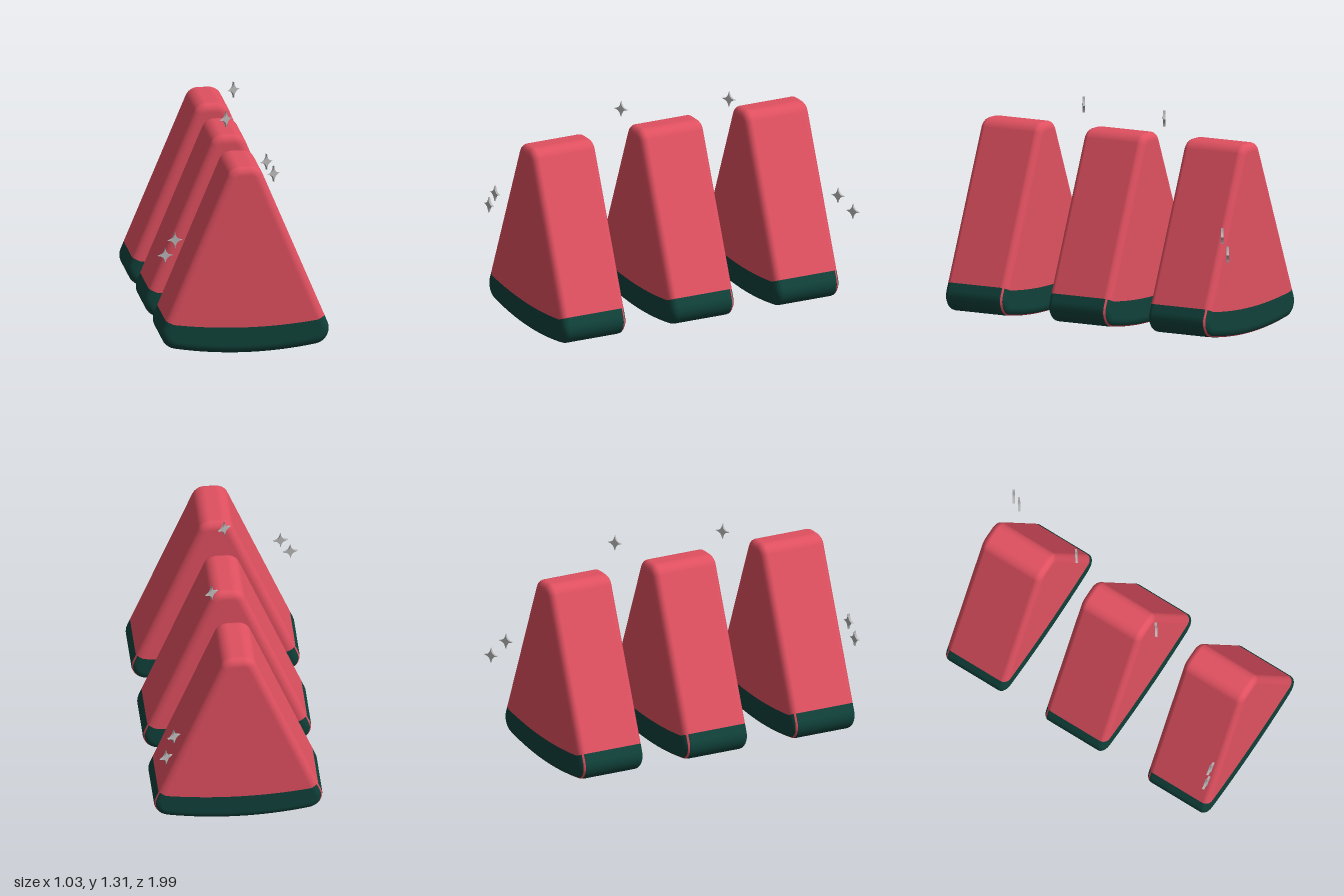
import * as THREE from 'three';

const flesh = new THREE.MeshStandardMaterial({ color: 0xe05060 });
flesh.name = 'melon red';
const rind = new THREE.MeshStandardMaterial({ color: 0x10413a });
rind.name = 'rind green';
const silver = new THREE.MeshStandardMaterial({ color: 0xb2b2b2 });
silver.name = 'sparkle grey';

const HALF = 0.2125;          // half thickness of a slice
const INSET = 0.05;           // edge rounding across the face
const DEPTH = 0.04;           // edge rounding along the thickness
const BANDS = 5;
const TILT = 0.397;           // angle of the side's normal
const ARC = 0.1767;           // half angle of the curved bottom

// Wedge outline, counter-clockwise from the bottom centre, as points with normals
function makeOutline() {
  const half = [];
  const arc = (cx, cy, r, a, b, steps, first = 0) => {
    for (let i = first; i <= steps; i++) {
      const t = a + (b - a) * i / steps;
      half.push({ x: cx + r * Math.cos(t), y: cy + r * Math.sin(t), nx: Math.cos(t), ny: Math.sin(t) });
    }
  };
  const down = -Math.PI / 2;
  arc(0, 2.413, 2.41, down, down + ARC, 8);
  arc(0.407, 0.134, 0.095, down + ARC, TILT, 9, 1);
  const split = half.length;  // where rind meets flesh
  half.push({ x: 0.476, y: 0.215, nx: Math.cos(TILT), ny: Math.sin(TILT) });
  arc(0.0315, 1.067, 0.08, TILT, Math.PI / 2, 8);
  const mirrored = half.slice(1).reverse().map(p => ({ x: -p.x, y: p.y, nx: -p.nx, ny: p.ny }));
  const points = [...half, ...mirrored];
  return { points, split, splitLeft: points.length - split };
}
const outline = makeOutline();

// Cross-sections from back to front, rounding in at both ends
const rings = [];
for (let k = BANDS; k >= -BANDS; k--) {
  if (k === 0) rings.push({ t: 0, side: -1 }, { t: 0, side: 1 });
  else rings.push({ t: Math.abs(k) / BANDS * Math.PI / 2, side: k > 0 ? -1 : 1 });
}
const RED_BAND = BANDS - 2;   // thin red line round the back edge of the rind

// Rounded outer wall, keeping the quads that the rule picks
function wall(keep) {
  const pos = [], nor = [], idx = [];
  const pts = outline.points, n = pts.length;
  for (const { t, side } of rings) {
    const d = INSET * (1 - Math.cos(t));
    const z = side * (HALF - DEPTH + DEPTH * Math.sin(t));
    const out = DEPTH * Math.cos(t), along = INSET * Math.sin(t), len = Math.hypot(out, along);
    for (const p of pts) {
      pos.push(p.x - p.nx * d, p.y - p.ny * d, z);
      nor.push(p.nx * out / len, p.ny * out / len, side * along / len);
    }
  }
  for (let k = 0; k < rings.length - 1; k++) {
    for (let i = 0; i < n; i++) {
      const isFlesh = (i >= outline.split && i < outline.splitLeft) || k === RED_BAND;
      if (isFlesh !== keep) continue;
      const j = (i + 1) % n, a = k * n + i, b = k * n + j, c = a + n, e = b + n;
      idx.push(a, b, e, a, e, c);
    }
  }
  const g = new THREE.BufferGeometry();
  g.setAttribute('position', new THREE.Float32BufferAttribute(pos, 3));
  g.setAttribute('normal', new THREE.Float32BufferAttribute(nor, 3));
  g.setIndex(idx);
  return g;
}

// Flat face of the flesh or the rind, divided by a shallow curve
function face(isFlesh) {
  const ring = outline.points.map(p => new THREE.Vector2(p.x - p.nx * INSET, p.y - p.ny * INSET));
  const { split, splitLeft } = outline;
  const right = ring[split];
  const curve = [];           // from left to right
  for (let i = 1; i < 16; i++) {
    const u = -1 + i / 8;
    curve.push(new THREE.Vector2(u * right.x, 0.165 + (right.y - 0.165) * u * u));
  }
  const pts = isFlesh
    ? [...ring.slice(split, splitLeft + 1), ...curve]
    : [...ring.slice(splitLeft), ...ring.slice(0, split + 1), ...curve.reverse()];
  return new THREE.ShapeGeometry(new THREE.Shape(pts));
}

const parts = [
  { name: 'flesh', material: flesh, wall: wall(true), face: face(true) },
  { name: 'rind', material: rind, wall: wall(false), face: face(false) },
];

function makeSlice(z) {
  const slice = new THREE.Group();
  slice.name = 'melonSlice';
  for (const part of parts) {
    const add = (geometry, name) => {
      const mesh = new THREE.Mesh(geometry, part.material);
      mesh.name = part.name + name;
      slice.add(mesh);
      return mesh;
    };
    add(part.wall, 'Wall');
    add(part.face, 'Front').position.z = HALF;
    const back = add(part.face, 'Back');
    back.position.z = -HALF;
    back.rotation.y = Math.PI;
  }
  slice.position.set(0.012, 0, z);
  return slice;
}

// Four-pointed sparkle with hollow sides
function sparkleGeometry() {
  const w = 0.045, h = 0.048, c = 0.004;
  const s = new THREE.Shape();
  s.moveTo(w, 0);
  s.quadraticCurveTo(c, c, 0, h);
  s.quadraticCurveTo(-c, c, -w, 0);
  s.quadraticCurveTo(-c, -c, 0, -h);
  s.quadraticCurveTo(c, -c, w, 0);
  const g = new THREE.ExtrudeGeometry(s, { depth: 0.014, bevelEnabled: false, curveSegments: 6 });
  return g.translate(0, 0, -0.007);
}

export function createModel() {
  const model = new THREE.Group();
  model.name = 'melonSlices';
  for (const z of [-0.645, 0.055, 0.778]) model.add(makeSlice(z));

  // Sparkles: x, y, z, turn
  const star = sparkleGeometry();
  const places = [
    [-0.41, 0.715, 0.975, 0.12], [-0.47, 0.625, 0.984, 0.12],
    [-0.015, 1.268, 0.338, 0.62], [0.122, 1.265, -0.312, 0.62],
    [0.402, 0.65, -0.895, 0.58], [0.455, 0.555, -0.967, 0.58],
  ];
  for (const [x, y, z, turn] of places) {
    const mesh = new THREE.Mesh(star, silver);
    mesh.name = 'sparkle';
    mesh.position.set(x, y, z);
    mesh.rotation.y = turn;
    model.add(mesh);
  }
  return model;
}
